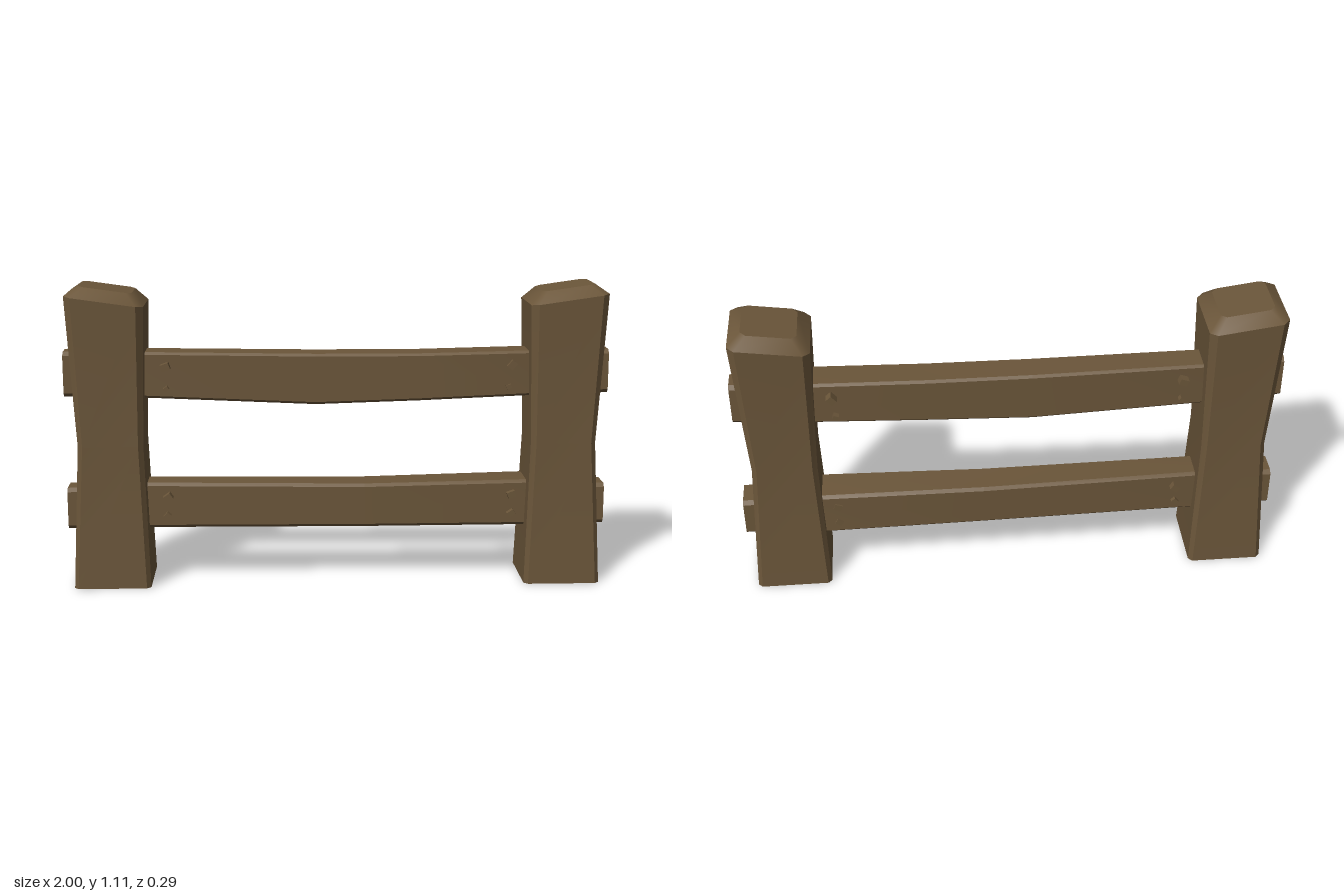
import * as THREE from 'three';
import { toCreasedNormals } from 'three/addons/utils/BufferGeometryUtils.js';

const wood = new THREE.MeshStandardMaterial({ color: 0x6b563a });
wood.name = 'brown wood';

// Rectangle with cut corners, counter-clockwise in (a, b)
function chamferedRect(a0, a1, b0, b1, c) {
  return [
    [a0 + c, b0], [a1 - c, b0], [a1, b0 + c], [a1, b1 - c],
    [a1 - c, b1], [a0 + c, b1], [a0, b1 - c], [a0, b0 + c],
  ];
}

// Closed skin through rings of equal point count
function loft(rings) {
  const n = rings[0].length;
  const index = [];
  for (let r = 0; r < rings.length - 1; r++) {
    for (let i = 0; i < n; i++) {
      const a = r * n + i, b = r * n + (i + 1) % n;
      index.push(a, b, b + n, a, b + n, a + n);
    }
  }
  const last = (rings.length - 1) * n;
  for (let i = 1; i < n - 1; i++) {
    index.push(0, i + 1, i, last, last + i, last + i + 1);
  }
  const geometry = new THREE.BufferGeometry();
  geometry.setAttribute('position', new THREE.Float32BufferAttribute(rings.flat(2), 3));
  geometry.setIndex(index);
  return toCreasedNormals(geometry, 0.55);
}

function addMesh(parent, name, geometry) {
  const mesh = new THREE.Mesh(geometry, wood);
  mesh.name = name;
  parent.add(mesh);
  return mesh;
}

// Waisted post with a sloping, chamfered top; side is +1 or -1
function makePost(parent, name, side) {
  // inner x, outer x, back z, front z, corner cut, y at inner, y at outer
  const sections = [
    [0.692, 0.973, -0.143, 0.146, 0.015, 0, 0],
    [0.71, 0.948, -0.116, 0.125, 0.018, 0.53, 0.53],
    [0.697, 0.979, -0.142, 0.146, 0.025, 1.04, 1.08],
    [0.74, 0.932, -0.095, 0.1, 0.02, 1.086, 1.113],
  ];
  const rings = sections.map(([inner, outer, back, front, cut, yIn, yOut]) => {
    const x0 = Math.min(side * inner, side * outer);
    const x1 = Math.max(side * inner, side * outer);
    return chamferedRect(back, front, x0, x1, cut).map(([z, x]) => {
      const t = (Math.abs(x) - inner) / (outer - inner);
      return [x, yIn + (yOut - yIn) * t, z];
    });
  });
  addMesh(parent, name, loft(rings));
}

// Rail whose narrowed ends pass through both posts
function makeRail(parent, name, stations) {
  const rings = stations.map(([x, y0, y1, z0, z1, cut]) =>
    chamferedRect(y0, y1, z0, z1, cut).map(([y, z]) => [x, y, z]));
  addMesh(parent, name, loft(rings));
}

export function createModel() {
  const fence = new THREE.Group();
  fence.name = 'fence';

  makePost(fence, 'leftPost', 1);
  makePost(fence, 'rightPost', -1);

  // x, bottom, top, back, front, corner cut
  makeRail(fence, 'upperRail', [
    [-1, 0.703, 0.868, -0.047, 0.05, 0.014],
    [-0.8, 0.7, 0.868, -0.05, 0.05, 0.012],
    [-0.7, 0.697, 0.866, -0.062, 0.052, 0.009],
    [-0.08, 0.67, 0.857, -0.062, 0.06, 0.009],
    [0.3, 0.682, 0.857, -0.06, 0.064, 0.009],
    [0.7, 0.699, 0.866, -0.06, 0.067, 0.009],
    [0.8, 0.702, 0.866, -0.05, 0.052, 0.012],
    [1, 0.704, 0.866, -0.046, 0.05, 0.014],
  ]);
  makeRail(fence, 'lowerRail', [
    [-1, 0.203, 0.358, -0.06, 0.05, 0.014],
    [-0.8, 0.203, 0.362, -0.06, 0.05, 0.012],
    [-0.7, 0.205, 0.376, -0.068, 0.05, 0.011],
    [0.1, 0.202, 0.366, -0.078, 0.056, 0.011],
    [0.7, 0.204, 0.378, -0.088, 0.06, 0.011],
    [0.8, 0.203, 0.362, -0.07, 0.052, 0.012],
    [1, 0.205, 0.358, -0.07, 0.05, 0.014],
  ]);

  // Peg heads on the front and back of each rail end: x, y, size
  const pegs = [
    [-0.627, 0.815, 0.031], [-0.626, 0.733, 0.018],
    [0.64, 0.815, 0.031], [0.63, 0.733, 0.02],
    [-0.627, 0.326, 0.03], [-0.632, 0.254, 0.024],
    [0.648, 0.326, 0.03], [0.648, 0.254, 0.026],
  ];
  pegs.forEach(([x, y, size], i) => {
    const depth = size > 0.025 ? 0.176 : 0.156;
    const peg = addMesh(fence, 'peg' + (i + 1), new THREE.BoxGeometry(size, size * 0.8, depth));
    peg.position.set(x, y, -0.005);
    peg.rotation.z = 0.35 + 0.25 * (i % 3);
  });

  return fence;
}
